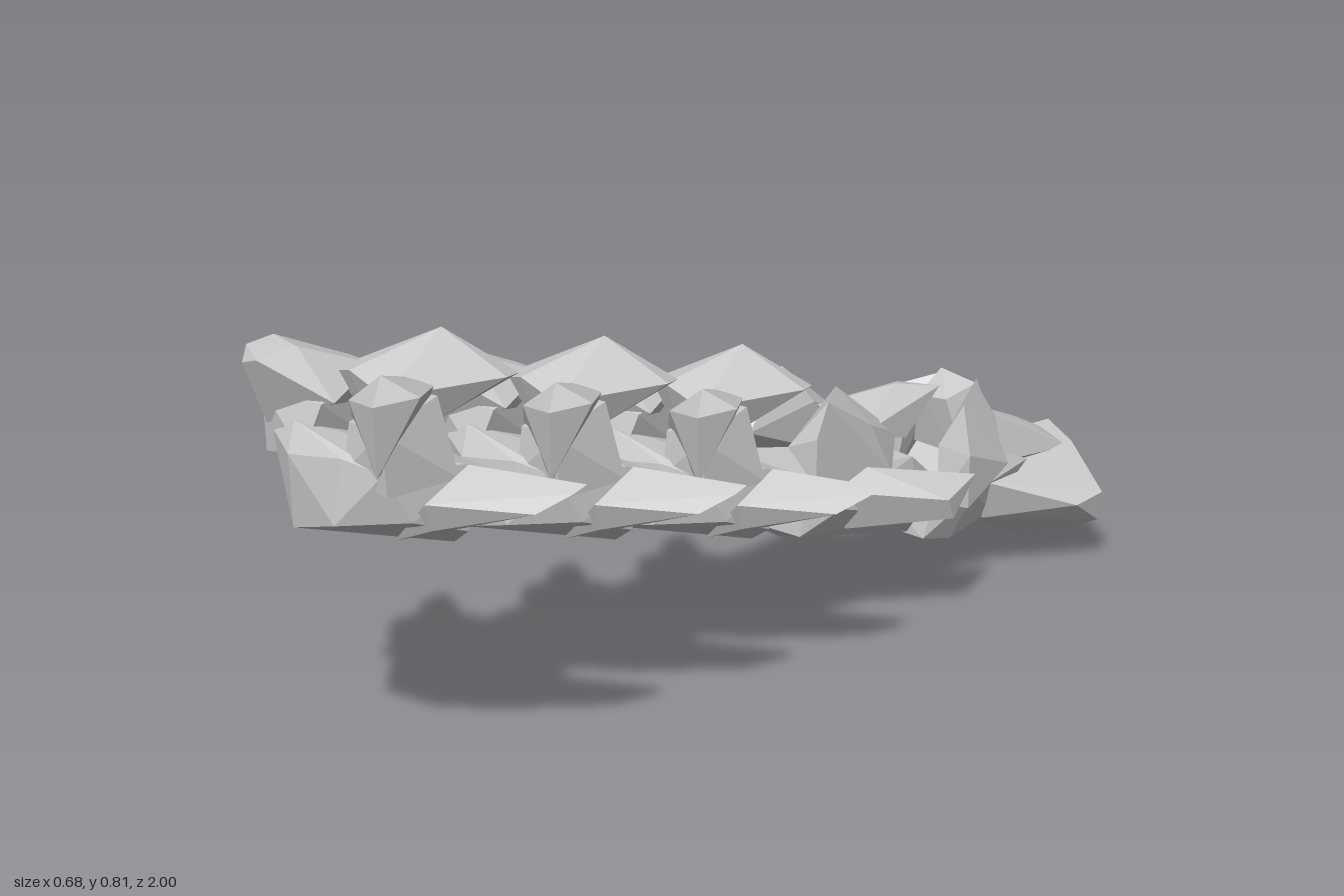
import * as THREE from 'three';
import { ConvexGeometry } from 'three/addons/geometries/ConvexGeometry.js';

const bone = new THREE.MeshStandardMaterial({ color: 0xcccccc });
bone.name = 'bone grey';

// Faceted solid wrapped around a few corner points
function chunk(name, points) {
  const mesh = new THREE.Mesh(new ConvexGeometry(points.map(p => new THREE.Vector3(...p))), bone);
  mesh.name = name;
  return mesh;
}

function segment(name, parts) {
  const group = new THREE.Group();
  group.name = name;
  for (const [part, points] of Object.entries(parts)) group.add(chunk(part, points));
  return group;
}

// Upper vertebrae: rounded body, arch with a spine, swept-back wings
const upper = {
  body: [
    [-0.15, 0.65, 0.95], [-0.08, 0.68, 0.95], [0.07, 0.65, 0.96], [0.16, 0.64, 0.94],
    [-0.07, 0.49, 0.97], [0.06, 0.53, 0.975], [-0.06, 0.63, 0.98], [-0.17, 0.57, 0.90],
    [0.18, 0.55, 0.90], [-0.06, 0.43, 0.75], [0.07, 0.44, 0.73], [-0.14, 0.49, 0.76],
    [0.15, 0.49, 0.76], [-0.10, 0.57, 0.67], [0.11, 0.57, 0.67], [0, 0.47, 0.69],
    [-0.12, 0.60, 0.74], [0.12, 0.60, 0.74],
  ],
  rightPedicle: [
    [-0.17, 0.60, 0.95], [-0.06, 0.62, 0.95], [-0.17, 0.60, 0.79], [-0.07, 0.59, 0.77],
    [-0.16, 0.72, 0.96], [-0.04, 0.71, 0.92], [-0.13, 0.74, 0.80], [-0.06, 0.73, 0.79],
  ],
  leftPedicle: [
    [0.17, 0.60, 0.94], [0.06, 0.62, 0.95], [0.17, 0.60, 0.79], [0.07, 0.59, 0.77],
    [0.17, 0.72, 0.95], [0.04, 0.70, 0.92], [0.13, 0.74, 0.80], [0.06, 0.73, 0.79],
  ],
  rightFrontProcess: [
    [-0.20, 0.79, 0.96], [-0.19, 0.80, 0.91], [-0.09, 0.805, 0.93], [-0.11, 0.79, 1.0],
    [-0.17, 0.77, 0.99], [-0.15, 0.66, 0.96], [-0.03, 0.71, 0.90], [-0.08, 0.68, 0.80],
    [-0.12, 0.755, 0.80], [-0.05, 0.755, 0.80],
  ],
  leftFrontProcess: [
    [0.15, 0.81, 0.93], [0.19, 0.77, 0.88], [0.18, 0.77, 0.97], [0.07, 0.75, 0.94],
    [0.17, 0.64, 0.96], [0.02, 0.70, 0.90], [0.08, 0.68, 0.80],
    [0.12, 0.755, 0.80], [0.05, 0.755, 0.80],
  ],
  spine: [
    [0, 0.81, 0.69], [-0.01, 0.77, 0.88], [-0.10, 0.745, 0.86], [0.09, 0.745, 0.88],
    [-0.11, 0.73, 0.64], [0.13, 0.74, 0.65], [-0.06, 0.75, 0.61], [0.10, 0.73, 0.60],
    [0.02, 0.71, 0.69], [-0.08, 0.67, 0.79], [0.08, 0.67, 0.79], [0, 0.70, 0.86],
  ],
  rightWing: [
    [-0.34, 0.58, 0.65], [-0.34, 0.575, 0.71], [-0.28, 0.52, 0.75], [-0.27, 0.59, 0.68],
    [-0.15, 0.62, 0.78], [-0.19, 0.57, 0.86], [-0.12, 0.50, 0.90], [-0.14, 0.50, 0.77],
    [-0.12, 0.56, 0.74],
  ],
  leftWing: [
    [0.34, 0.60, 0.65], [0.34, 0.59, 0.68], [0.31, 0.56, 0.74], [0.27, 0.58, 0.68],
    [0.17, 0.62, 0.77], [0.19, 0.58, 0.88], [0.18, 0.525, 0.86], [0.10, 0.49, 0.88],
    [0.13, 0.53, 0.74],
  ],
};

// Fourth vertebra: heavier body, long spine
const lower = {
  body: [
    [-0.13, 0.36, -0.10], [0.11, 0.36, -0.10], [-0.11, 0.23, -0.08], [0.10, 0.24, -0.085],
    [-0.16, 0.28, -0.16], [0.14, 0.29, -0.16], [0, 0.20, -0.13], [-0.05, 0.15, -0.43],
    [0.07, 0.155, -0.42], [-0.12, 0.20, -0.40], [0.12, 0.21, -0.40], [-0.09, 0.28, -0.47],
    [0.09, 0.28, -0.46], [-0.10, 0.33, -0.40], [0.10, 0.33, -0.40], [0, 0.20, -0.46],
  ],
  rightFrontProcess: [
    [-0.14, 0.51, -0.15], [-0.08, 0.52, -0.21], [-0.16, 0.45, -0.12], [-0.06, 0.41, -0.10],
    [-0.15, 0.34, -0.11], [-0.12, 0.43, -0.27], [-0.05, 0.44, -0.27], [-0.13, 0.32, -0.32],
    [-0.06, 0.32, -0.32], [-0.08, 0.38, -0.38],
  ],
  leftFrontProcess: [
    [0.12, 0.51, -0.14], [0.08, 0.52, -0.20], [0.12, 0.44, -0.11], [0.05, 0.41, -0.10],
    [0.12, 0.34, -0.11], [0.11, 0.43, -0.27], [0.04, 0.44, -0.27], [0.12, 0.32, -0.32],
    [0.06, 0.32, -0.32], [0.07, 0.38, -0.38],
  ],
  spine: [
    [-0.01, 0.45, -0.24], [0, 0.45, -0.45], [-0.07, 0.42, -0.53], [0.03, 0.43, -0.55],
    [-0.10, 0.41, -0.25], [0.10, 0.41, -0.25], [-0.09, 0.36, -0.41], [0.07, 0.36, -0.41],
    [0, 0.36, -0.34], [-0.04, 0.39, -0.54],
  ],
  rightWing: [
    [-0.315, 0.275, -0.38], [-0.285, 0.20, -0.37], [-0.26, 0.28, -0.44], [-0.20, 0.30, -0.42],
    [-0.13, 0.34, -0.28], [-0.14, 0.32, -0.17], [-0.13, 0.21, -0.20], [-0.10, 0.19, -0.37],
  ],
  leftWing: [
    [0.24, 0.285, -0.36], [0.235, 0.24, -0.38], [0.20, 0.30, -0.48], [0.19, 0.24, -0.43],
    [0.12, 0.35, -0.25], [0.12, 0.32, -0.16], [0.11, 0.23, -0.20], [0.10, 0.24, -0.38],
  ],
};

// Last piece: narrow at the front, flaring into a tapered tail plate
const tail = {
  body: [
    [-0.13, 0.20, -0.50], [0.07, 0.20, -0.50], [-0.09, 0.11, -0.49], [0.06, 0.12, -0.48],
    [-0.10, 0.10, -0.56], [0.06, 0.10, -0.56], [0.11, 0.21, -0.58], [-0.14, 0.23, -0.58],
    [-0.09, 0.13, -0.66], [0.08, 0.14, -0.66], [-0.08, 0.29, -0.62], [0.08, 0.29, -0.62],
    [-0.10, 0.24, -0.75], [0.10, 0.24, -0.75],
  ],
  tailPlate: [
    [-0.25, 0.12, -0.87], [-0.21, 0.11, -0.94], [-0.235, 0.15, -0.89], [-0.06, 0.23, -1.0],
    [0.05, 0.22, -0.95], [0.20, 0.16, -0.88], [0.20, 0.15, -0.80], [0.19, 0.095, -0.88],
    [-0.055, 0.0, -0.87], [0.02, 0.01, -0.88], [-0.03, 0.05, -0.95], [-0.16, 0.09, -0.80],
    [-0.09, 0.13, -0.64], [0.08, 0.13, -0.64], [-0.10, 0.22, -0.64], [0.10, 0.22, -0.62],
  ],
  ridge: [
    [-0.04, 0.39, -0.56], [0.04, 0.40, -0.56], [-0.05, 0.43, -0.64], [0.05, 0.42, -0.64],
    [-0.07, 0.28, -0.58], [0.07, 0.28, -0.58], [-0.06, 0.34, -0.69], [0.06, 0.34, -0.69],
    [-0.08, 0.24, -0.70], [0.08, 0.24, -0.70],
  ],
  ridgeRamp: [
    [-0.04, 0.36, -0.66], [0.04, 0.36, -0.66], [-0.09, 0.25, -0.66], [0.09, 0.25, -0.66],
    [-0.03, 0.28, -0.85], [0.03, 0.27, -0.85], [-0.05, 0.22, -0.97], [0.05, 0.21, -0.94],
    [0, 0.18, -0.80],
  ],
  rightFrontProcess: [
    [-0.10, 0.40, -0.56], [-0.05, 0.42, -0.64], [-0.13, 0.30, -0.54], [-0.05, 0.31, -0.53],
    [-0.14, 0.18, -0.56], [-0.07, 0.19, -0.52], [-0.11, 0.25, -0.68],
  ],
  leftFrontProcess: [
    [0.09, 0.40, -0.56], [0.05, 0.43, -0.64], [0.12, 0.30, -0.55], [0.05, 0.31, -0.53],
    [0.11, 0.18, -0.56], [0.06, 0.19, -0.52], [0.11, 0.25, -0.68],
  ],
};

export function createModel() {
  const model = new THREE.Group();
  model.name = 'vertebraChain';
  // Three matching vertebrae stepping down toward the back
  [[0, 0], [-0.095, -0.37], [-0.185, -0.715]].forEach(([y, z], i) => {
    const vertebra = segment(`upperVertebra${i + 1}`, upper);
    vertebra.position.set(0, y, z);
    model.add(vertebra);
  });
  model.add(segment('lowerVertebra', lower), segment('tailVertebra', tail));
  return model;
}
